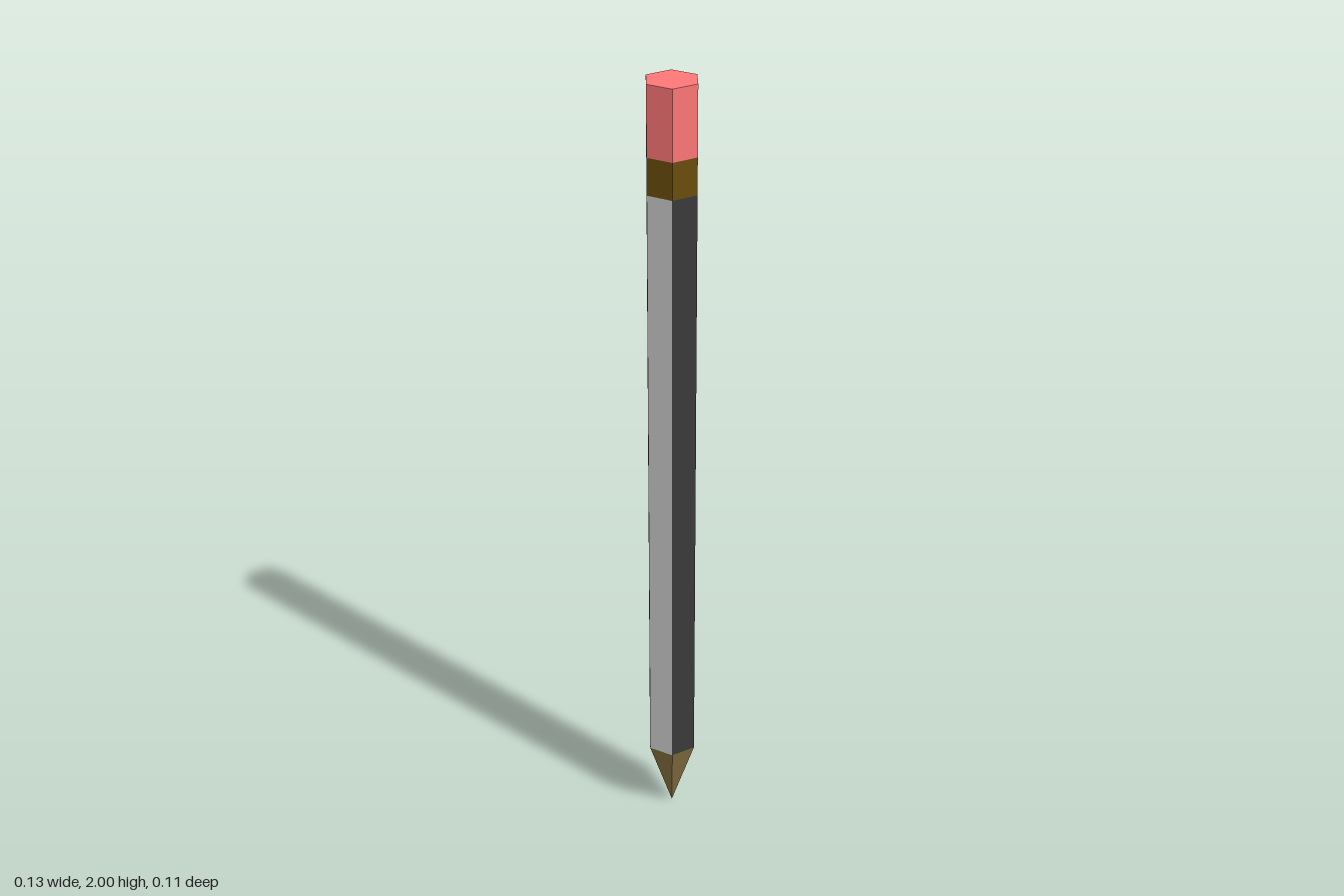
import * as THREE from 'three';

const R = 0.066;          // corner radius of the hexagon
const START = -Math.PI / 6; // puts a flat side to the front
const STEP = Math.PI / 3;

const material = (color) => new THREE.MeshStandardMaterial({ color, flatShading: true });

// Six-sided section between two heights
function section(name, y0, y1, bottomRadius, mat, open) {
  const geometry = new THREE.CylinderGeometry(R, bottomRadius, y1 - y0, 6, 1, open, START);
  const mesh = new THREE.Mesh(geometry, mat);
  mesh.name = name;
  mesh.position.y = (y0 + y1) / 2;
  return mesh;
}

export function createModel() {
  const pencil = new THREE.Group();
  pencil.name = 'pencil';

  const tipTop = 0.195, shaftTop = 1.74, ferruleTop = 1.83, top = 2;

  // Sharpened wooden tip, metal band and eraser
  pencil.add(section('tip', 0, tipTop, 0, material(0x8a7343), true));
  pencil.add(section('ferrule', shaftTop, ferruleTop, R, material(0x6b4d0c), true));
  pencil.add(section('eraser', ferruleTop, top, R, material(0xff7777), false));

  // Shaft: six flat panels, alternately dark and light
  const shaft = new THREE.Group();
  shaft.name = 'shaft';
  const dark = material(0x3a3a3a);
  const light = material(0xcccccc);
  for (let i = 0; i < 6; i++) {
    const geometry = new THREE.CylinderGeometry(R, R, shaftTop - tipTop, 1, 1, true, START + i * STEP, STEP);
    const panel = new THREE.Mesh(geometry, i % 2 ? light : dark);
    panel.name = i % 2 ? 'lightPanel' : 'darkPanel';
    panel.position.y = (shaftTop + tipTop) / 2;
    shaft.add(panel);
  }
  pencil.add(shaft);

  return pencil;
}
